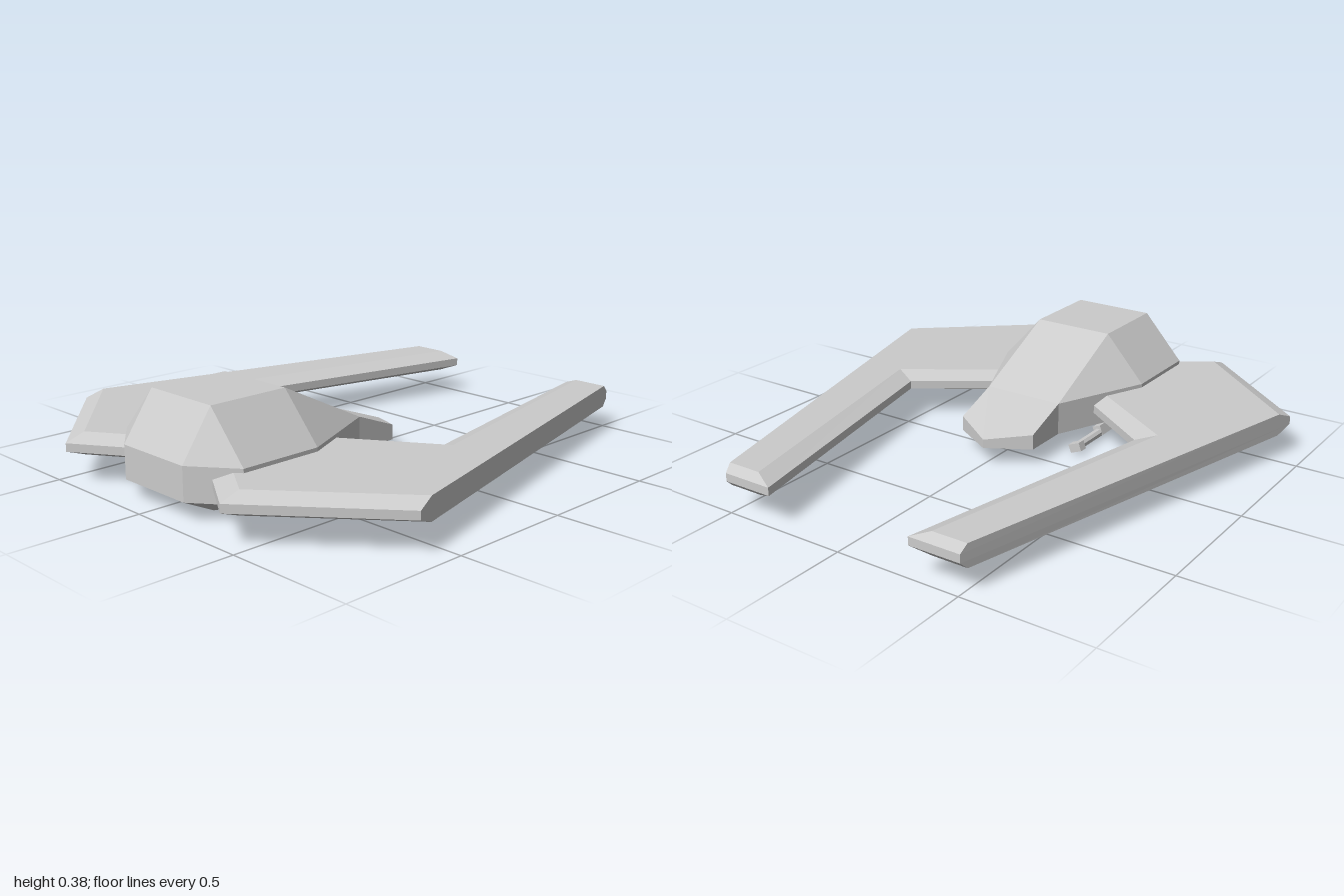
import * as THREE from 'three';
import { ConvexGeometry } from 'three/addons/geometries/ConvexGeometry.js';

const grey = new THREE.MeshStandardMaterial({ color: 0xcccccc, flatShading: true });

function mesh(name, geometry, parent) {
  const m = new THREE.Mesh(geometry, grey);
  m.name = name;
  parent.add(m);
  return m;
}

// Convex solid from points [x, y, z], each mirrored across x = 0
function mirroredSolid(points) {
  return new ConvexGeometry(points.flatMap(([x, y, z]) =>
    (x ? [1, -1] : [1]).map(s => new THREE.Vector3(s * x, y, z))));
}

// Closed solid through stacked outlines [y, [[x, z], ...]], listed bottom to top
function stackedSolid(layers, side) {
  const rings = layers.map(([y, pts]) => {
    const ring = pts.map(([x, z]) => new THREE.Vector3(side * x, y, z));
    const flat = ring.map(p => new THREE.Vector2(p.x, -p.z));
    return THREE.ShapeUtils.area(flat) < 0 ? ring.reverse() : ring;
  });
  const corners = [];
  const n = rings[0].length;
  for (let k = 0; k < rings.length - 1; k++) {
    const lo = rings[k], hi = rings[k + 1];
    for (let i = 0; i < n; i++) {
      const j = (i + 1) % n;
      corners.push(lo[i], lo[j], hi[j], lo[i], hi[j], hi[i]);
    }
  }
  const cap = (ring, up) => {
    const flat = ring.map(p => new THREE.Vector2(p.x, -p.z));
    for (const [a, b, c] of THREE.ShapeUtils.triangulateShape(flat, [])) {
      corners.push(ring[a], ring[up ? b : c], ring[up ? c : b]);
    }
  };
  cap(rings[0], false);
  cap(rings[rings.length - 1], true);
  const geometry = new THREE.BufferGeometry().setFromPoints(corners);
  geometry.computeVertexNormals();
  return geometry;
}

export function createModel() {
  const model = new THREE.Group();
  model.name = 'spacecraft';

  // Faceted hull: roof, upright belt, shallow keel
  const belt = [[0.165, 0.935], [0.33, 0.81], [0.33, 0.48], [0.165, 0.11]];
  mesh('hull', mirroredSolid([
    [0.165, 0.385, 0.81], [0.165, 0.385, 0.48],
    ...belt.map(([x, z]) => [x, 0.203, z]),
    ...belt.map(([x, z]) => [x, 0.075, z]),
    [0.165, 0.015, 0.81], [0.165, 0.015, 0.46],
  ]), model);

  // Pointed tail behind the sloping roof
  mesh('tail', mirroredSolid([
    [0.165, 0.203, 0.11], [0.165, 0.135, -0.07], [0, 0.11, -0.165],
    [0.165, 0.075, 0.11], [0.165, 0.075, -0.07], [0, 0.075, -0.165],
  ]), model);

  // Swept wings with bevelled front, inner and tip edges
  const rim = [[0.305, -1], [0.51, -1], [0.92, 0.6], [0.44, 1],
    [0.2, 0.845], [0.2, 0.288], [0.53, 0.06]];
  const face = [[0.378, -0.97], [0.517, -0.97], [0.902, 0.53], [0.44, 0.92],
    [0.2, 0.765], [0.2, 0.36], [0.61, 0.09]];
  const layers = [[0.1, face], [0.128, rim], [0.16, rim], [0.188, face]];

  for (const side of [1, -1]) {
    const prefix = side > 0 ? 'left' : 'right';
    mesh(prefix + 'Wing', stackedSolid(layers, side), model);

    // Rear-facing gun under the hull, rolled to match the keel slope
    const gun = new THREE.Group();
    gun.name = prefix + 'Gun';
    gun.position.set(side * 0.24, 0.032, 0);
    gun.rotation.z = side * 0.38;
    const barrel = mesh('barrel', new THREE.CylinderGeometry(0.018, 0.018, 0.28, 8), gun);
    barrel.rotation.x = Math.PI / 2;
    barrel.position.z = 0.28;
    mesh('muzzle', new THREE.BoxGeometry(0.05, 0.034, 0.036), gun).position.z = 0.133;
    mesh('mount', new THREE.BoxGeometry(0.036, 0.04, 0.13), gun).position.set(0, 0.008, 0.36);
    model.add(gun);
  }
  return model;
}
